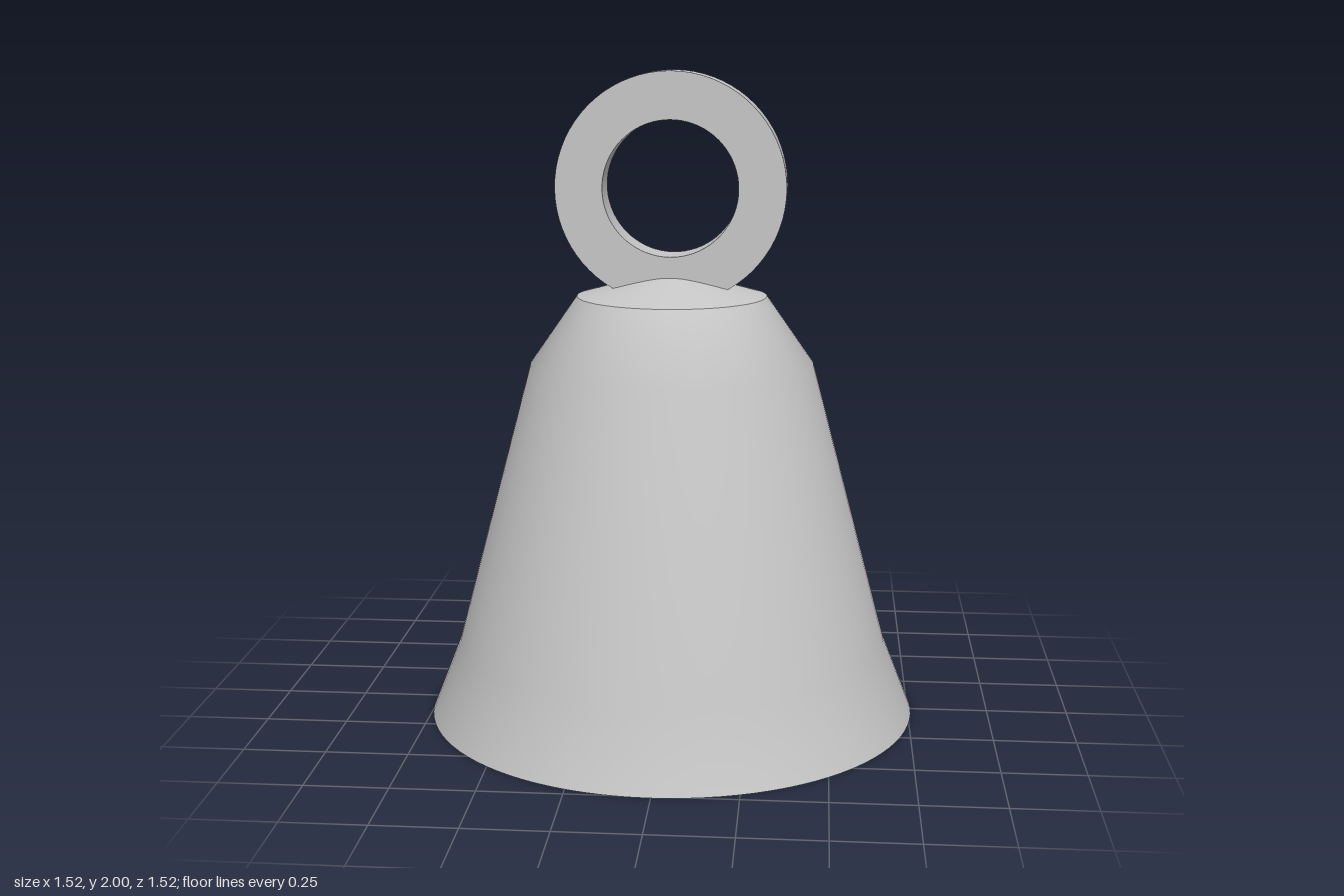
import * as THREE from 'three';
import { mergeGeometries } from 'three/addons/utils/BufferGeometryUtils.js';

// Turn several profile runs separately, so edges between runs stay sharp
// while each run is smooth along its length.
function turned(runs, segments) {
  return mergeGeometries(runs.map((run) =>
    new THREE.LatheGeometry(run.map(([r, y]) => new THREE.Vector2(r, y)), segments)));
}

export function createModel() {
  const model = new THREE.Group();
  model.name = 'bell';
  const metal = new THREE.MeshStandardMaterial({ color: 0xc6c6c6 });
  metal.name = 'grey metal';

  // Hollow body: flared wall, shallow conical crown, inner wall and flat lip
  const body = new THREE.Mesh(turned([
    [[0.76, 0], [0.67, 0.23], [0.437, 1.11], [0.292, 1.318]],
    [[0.292, 1.318], [0, 1.4]],
    [[0, 1.29], [0.24, 1.235]],
    [[0.24, 1.235], [0.348, 1.08], [0.58, 0.22], [0.668, 0]],
    [[0.668, 0], [0.76, 0]],
  ], 96), metal);
  body.name = 'bellBody';
  model.add(body);

  // Upright hanging ring with a rectangular section, sunk into the crown
  const outer = 0.35, inner = 0.206, half = 0.071;
  const ring = new THREE.Mesh(turned([
    [[outer, -half], [outer, half]],
    [[outer, half], [inner, half]],
    [[inner, half], [inner, -half]],
    [[inner, -half], [outer, -half]],
  ], 72), metal);
  ring.name = 'hangingRing';
  ring.rotation.x = Math.PI / 2;
  ring.position.y = 1.65;
  model.add(ring);

  return model;
}
